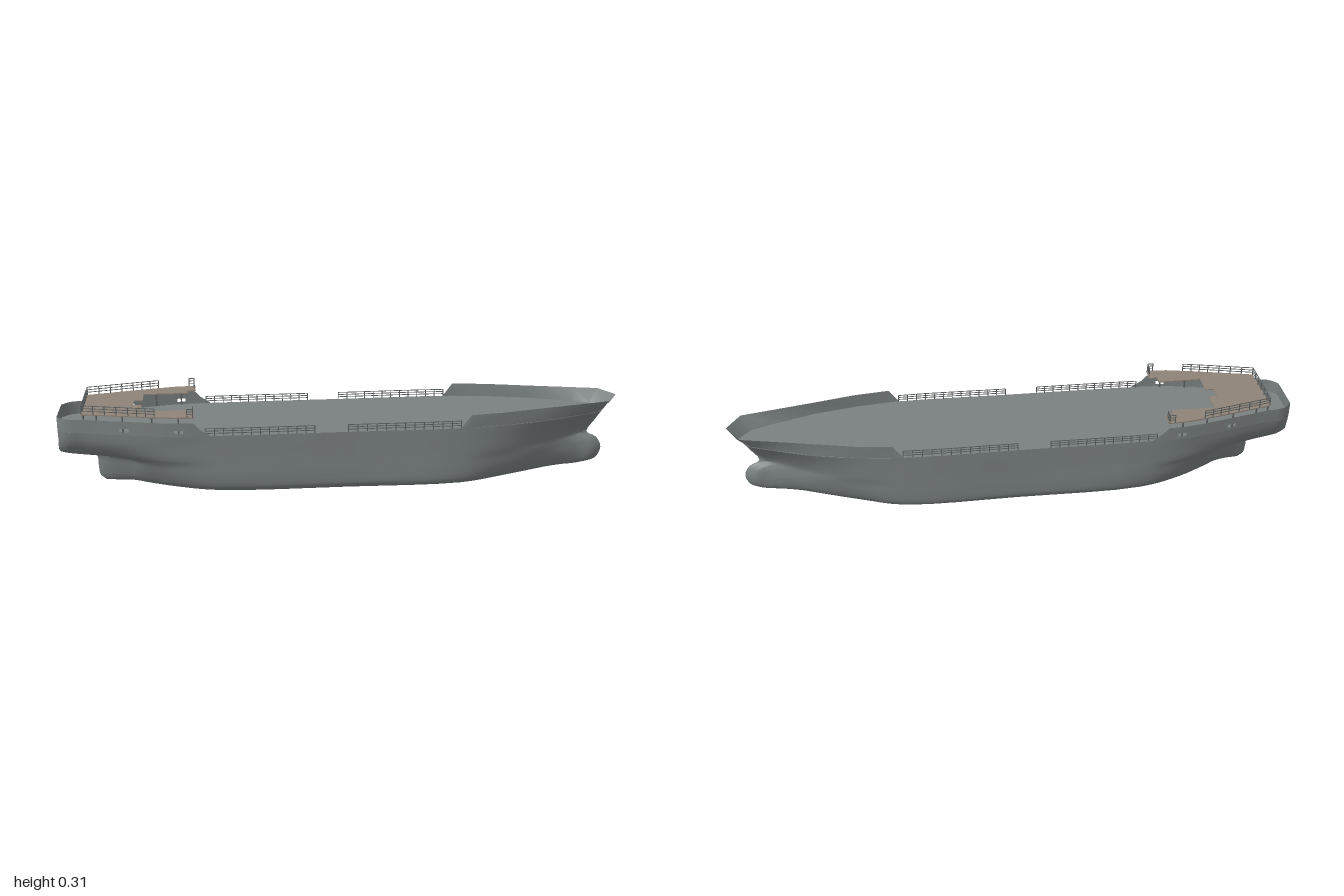
import * as THREE from 'three';
import { toCreasedNormals } from 'three/addons/utils/BufferGeometryUtils.js';

const DECK = 0.215, TOP = 0.262, UPPER = 0.283;
const V = (x, y, z) => new THREE.Vector3(x, y, z);
const mat = (color, side = THREE.FrontSide) => new THREE.MeshStandardMaterial({ color, side });
const hullMat = mat(0x7a8080);
const shellMat = mat(0x7a8080, THREE.DoubleSide);
const upperMat = mat(0x8f8378);
const railMat = mat(0x5c6060);

// Hull waterlines: height, stern x, bow x, half-breadths at the stations
const STATIONS = [-1, -0.97, -0.9, -0.8, -0.7, -0.6, -0.45, 0, 0.4, 0.55, 0.7, 0.8, 0.9, 0.96, 1];
const LEVELS = [
  [0, -0.85, 0.86, [.002, .004, .008, .016, .03, .06, .09, .1, .1, .07, .04, .02, .01, .006, 0]],
  [0.006, -0.855, 0.9, [.004, .008, .015, .03, .06, .11, .16, .172, .17, .12, .07, .04, .02, .012, 0]],
  [0.02, -0.87, 0.94, [.005, .01, .02, .04, .075, .13, .177, .185, .183, .135, .085, .05, .027, .018, 0]],
  [0.06, -0.875, 0.957, [.006, .015, .03, .055, .1, .15, .186, .188, .188, .15, .1, .06, .03, .022, 0]],
  [0.1, -0.88, 0.937, [.01, .02, .04, .07, .12, .16, .187, .188, .188, .155, .11, .065, .03, .018, 0]],
  [0.122, -1, 0.9, [.03, .05, .07, .1, .14, .17, .187, .188, .188, .16, .115, .075, .035, .012, 0]],
  [0.17, -1, 0.93, [.06, .088, .103, .13, .155, .175, .187, .188, .188, .165, .125, .09, .05, .03, 0]],
  [DECK, -1, 0.962, [.07, .1, .112, .137, .16, .18, .187, .188, .188, .17, .14, .11, .075, .05, 0]],
];

function stationX(u, stern, bow) {
  if (u < -0.7) return -0.7 + ((u + 0.7) / 0.3) * (-0.7 - stern);
  if (u > 0.6) return 0.6 + ((u - 0.6) / 0.4) * (bow - 0.6);
  return u;
}

function densify(points, k) {
  const curve = new THREE.CatmullRomCurve3(points);
  return curve.getPoints((points.length - 1) * k);
}

// Smooth waterlines first, then smooth each section vertically
const waterlines = LEVELS.map(([y, stern, bow, half]) =>
  densify(STATIONS.map((u, i) => V(stationX(u, stern, bow), y, half[i])), 4));
const sections = waterlines[0].map((_, i) => densify(waterlines.map((w) => w[i]), 3)
  .map((p) => V(p.x, Math.max(0, p.y), Math.max(0, p.z))));
const deckEdge = waterlines[waterlines.length - 1];

// Half-breadth of the main deck at x
function edgeZ(x) {
  for (let i = 1; i < deckEdge.length; i++) {
    const a = deckEdge[i - 1], b = deckEdge[i];
    if (x <= b.x) return THREE.MathUtils.mapLinear(Math.max(x, a.x), a.x, b.x, a.z, b.z);
  }
  return 0;
}

function surface(points, index, crease) {
  const g = new THREE.BufferGeometry();
  g.setAttribute('position', new THREE.Float32BufferAttribute(points.flatMap((p) => [p.x, p.y, p.z]), 3));
  g.setIndex(index);
  return toCreasedNormals(g, crease);
}

function hullGeometry() {
  const points = [], index = [], n = sections[0].length, m = 2 * n;
  for (const s of sections) {
    for (let j = n - 1; j >= 0; j--) points.push(V(s[j].x, s[j].y, -s[j].z));
    points.push(...s);
  }
  for (let i = 0; i < sections.length - 1; i++)
    for (let j = 0; j < m - 1; j++) {
      const a = i * m + j, b = a + m;
      index.push(a, b, b + 1, a, b + 1, a + 1);
    }
  // Transom, counter and skeg closing strips
  for (let k = 0; k < n - 1; k++) {
    const p = n - 1 - k, q = n + k;
    index.push(p, q, q + 1, p, q + 1, p - 1);
  }
  return surface(points, index, 0.7);
}

// Bulwark from columns of points; skip(column, row) leaves a mooring port open
function bulwarkGeometry(columns, skip = () => false) {
  const rows = columns[0].length, points = columns.flat(), index = [];
  for (let i = 0; i < columns.length - 1; i++)
    for (let j = 0; j < rows - 1; j++) {
      if (skip(i, j)) continue;
      const a = i * rows + j, b = a + rows;
      index.push(a, b, b + 1, a, b + 1, a + 1);
    }
  return surface(points, index, 0.5);
}

// Runs aft-to-forward on one side, mirrored to the other
const mirrorColumns = (cols, first) => {
  const other = cols.map((c) => c.map((p) => V(p.x, p.y, -p.z))).reverse();
  return first ? [...other, ...cols] : [...cols, ...other];
};

function bar(group, a, b, t, material = railMat) {
  const mesh = new THREE.Mesh(new THREE.BoxGeometry(t, t, a.distanceTo(b)), material);
  mesh.position.copy(a).add(b).multiplyScalar(0.5);
  mesh.lookAt(b);
  group.add(mesh);
}

// Railing along a path of deck points
function railing(name, path, height, spacing) {
  const g = new THREE.Group();
  g.name = name;
  const up = (p, h) => V(p.x, p.y + h, p.z);
  for (let i = 0; i < path.length - 1; i++) {
    const a = path[i], b = path[i + 1];
    for (const f of [0.36, 0.68, 1]) bar(g, up(a, f * height), up(b, f * height), 0.0022);
    const n = Math.max(1, Math.round(a.distanceTo(b) / spacing));
    for (let k = 0; k <= n; k++) {
      const p = a.clone().lerp(b, k / n);
      bar(g, p, up(p, height), 0.003);
    }
  }
  return g;
}

function flat(outline, y, depth) {
  const shape = new THREE.Shape(outline.map(([x, z]) => new THREE.Vector2(x, z)));
  const g = new THREE.ExtrudeGeometry(shape, { depth, bevelEnabled: false });
  return g.rotateX(-Math.PI / 2).translate(0, y - depth, 0);
}
const mirrored = (half) => [...half, ...half.map(([x, z]) => [x, -z]).reverse()];

export function createModel() {
  const ship = new THREE.Group();
  ship.name = 'ship';
  const add = (name, geometry, material) => {
    const mesh = new THREE.Mesh(geometry, material);
    mesh.name = name;
    ship.add(mesh);
  };

  add('hull', hullGeometry(), hullMat);
  add('mainDeck', flat(mirrored(deckEdge.map((p) => [p.x, p.z])), DECK, 0.002), hullMat);

  // Stern bulwark with two mooring ports a side
  const sternX = [-1, -0.985, -0.97, -0.94, -0.9, -0.85, -0.782, -0.75, -0.7, -0.65, -0.595, -0.565, -0.53, -0.51, -0.475];
  const sternTop = (x) => (x <= -0.53 ? TOP : x < -0.5 ? 0.24 : 0.217);
  const stern = sternX.map((x) => [0, 0.2, 0.45, 1].map((f) =>
    V(x, DECK + f * (sternTop(x) - DECK), edgeZ(x))));
  const n = sternX.length, ports = [6, 10];
  const isPort = (i, j) => j === 1 && (ports.includes(i - n) || ports.includes(n - 2 - i));
  add('sternBulwark', bulwarkGeometry(mirrorColumns(stern, true), isPort), shellMat);

  // Flared bow bulwark: deck x, top x, top half-breadth
  const bow = [
    [0.395, 0.395, 0.188], [0.43, 0.43, 0.189], [0.55, 0.55, 0.173], [0.7, 0.71, 0.135],
    [0.85, 0.87, 0.099], [0.92, 0.955, 0.08], [0.952, 0.98, 0.036], [0.962, 1, 0],
  ].map(([xb, xt, zt], i) => [V(xb, DECK, edgeZ(xb)), V(xt, i ? TOP : DECK + 0.001, zt)]);
  add('bowBulwark', bulwarkGeometry(mirrorColumns(bow, false)), shellMat);

  // Raised U-shaped aft deck with stepped inner edge
  const upperHalf = [
    [-0.912, edgeZ(-0.912)], [-0.8, edgeZ(-0.8)], [-0.7, edgeZ(-0.7)], [-0.6, edgeZ(-0.6)], [-0.527, 0.185],
    [-0.527, 0.13], [-0.555, 0.13], [-0.555, 0.1], [-0.71, 0.1], [-0.71, 0.025], [-0.74, 0.025],
  ];
  add('upperDeck', flat(mirrored(upperHalf), UPPER, 0.004), upperMat);

  const pillars = new THREE.Group();
  pillars.name = 'upperDeckPillars';
  ship.add(pillars);
  const aftRail = [];
  for (const s of [1, -1]) {
    for (const x of [-0.905, -0.86, -0.77, -0.67, -0.58]) {
      const z = s * (edgeZ(x) - 0.005);
      bar(pillars, V(x, DECK, z), V(x, UPPER - 0.002, z), 0.005);
    }
    // Main deck side railings
    for (const [x0, x1] of [[-0.49, -0.115], [0, 0.395]]) {
      const path = [0, 1, 2, 3, 4].map((k) => {
        const x = x0 + ((x1 - x0) * k) / 4;
        return V(x, DECK, s * (edgeZ(x) - 0.002));
      });
      ship.add(railing('sideRailing', path, 0.026, 0.032));
    }
    // Short railing at the forward end of the upper deck
    ship.add(railing('wingRailing', [V(-0.55, UPPER, s * 0.183), V(-0.531, UPPER, s * 0.183), V(-0.531, UPPER, s * 0.152)], 0.029, 0.02));
    const side = [-0.66, -0.75, -0.83, -0.91].map((x) => V(x, UPPER, s * (edgeZ(x) - 0.002)));
    aftRail.push(...(s > 0 ? side : side.reverse()));
  }
  ship.add(railing('aftRailing', aftRail, 0.029, 0.036));
  return ship;
}
